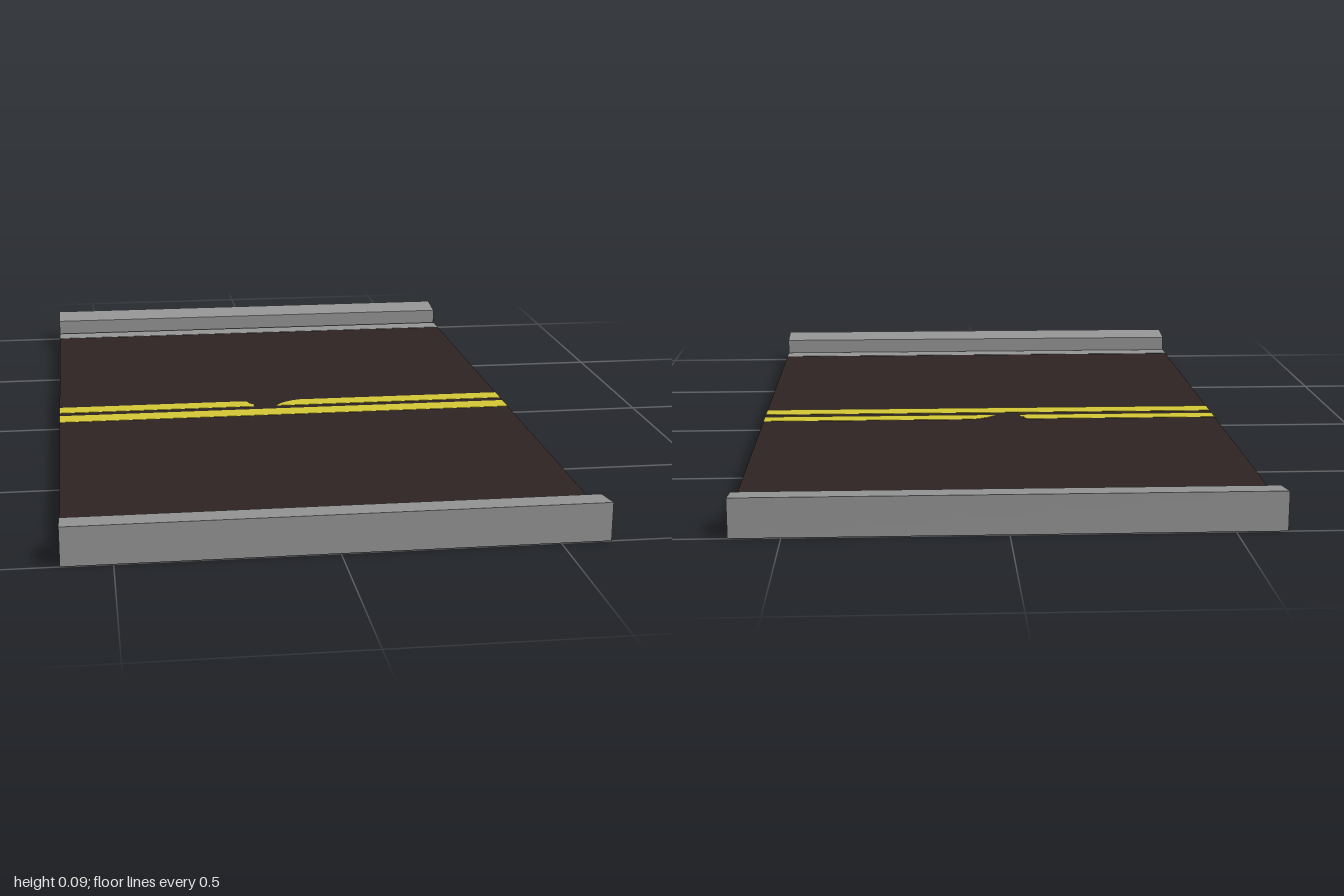
import * as THREE from 'three';

const HALF_X = 0.616, TOP = 0.041, PLATE = 0.001;

const mat = (name, color) => {
  const m = new THREE.MeshStandardMaterial({ color });
  m.name = name;
  return m;
};

// Thin flat plate from an outline of [x, z] points, with its base at height y
function plate(points, y) {
  const shape = new THREE.Shape(points.map(([x, z]) => new THREE.Vector2(x, -z)));
  const g = new THREE.ExtrudeGeometry(shape, { depth: PLATE, bevelEnabled: false });
  return g.rotateX(-Math.PI / 2).translate(0, y, 0);
}

const strip = (z0, z1) => [[-HALF_X, z0], [-HALF_X, z1], [HALF_X, z1], [HALF_X, z0]];

export function createModel() {
  const asphalt = mat('asphalt', 0x2e2323);
  const concrete = mat('concrete', 0x959595);
  const yellow = mat('yellow paint', 0xd2c634);
  const model = new THREE.Group();
  model.name = 'roadSection';

  const add = (name, geometry, material) => {
    const mesh = new THREE.Mesh(geometry, material);
    mesh.name = name;
    model.add(mesh);
  };

  // Road slab
  const slabHeight = TOP - 2 * PLATE;
  add('roadSlab', new THREE.BoxGeometry(2 * HALF_X, slabHeight, 1.82)
    .translate(0, PLATE + slabHeight / 2, 0), asphalt);

  // Kerbs with a sloping top, dark underneath
  for (const s of [1, -1]) {
    const side = s > 0 ? 'front' : 'back';
    const profile = new THREE.Shape([[0.912, PLATE], [1, PLATE], [1, 0.092], [0.912, 0.081]]
      .map(([z, y]) => new THREE.Vector2(z, y)));
    const kerb = new THREE.ExtrudeGeometry(profile, { depth: 2 * HALF_X, bevelEnabled: false })
      .translate(0, 0, -HALF_X).rotateY(-s * Math.PI / 2);
    add(side + 'Kerb', kerb, concrete);
    add(side + 'KerbBase', plate(s > 0 ? strip(0.908, 1) : strip(-1, -0.908), 0), asphalt);
  }

  // Painted markings, on the top and repeated underneath
  const wornLeft = [[-HALF_X, -0.067], [-HALF_X, -0.015], [-0.082, -0.015],
    [-0.082, -0.035], [-0.093, -0.045], [-0.095, -0.06], [-0.105, -0.067]];
  const wornRight = [[HALF_X, -0.015], [HALF_X, -0.067], [0.05, -0.067],
    [0.03, -0.06], [0.005, -0.045], [-0.01, -0.03], [-0.02, -0.015]];
  for (const [level, y] of [['top', TOP - PLATE], ['under', 0]]) {
    add(level + 'FrontLine', plate(strip(0.012, 0.07), y), yellow);
    add(level + 'BackLineA', plate(wornLeft, y), yellow);
    add(level + 'BackLineB', plate(wornRight, y), yellow);
    add(level + 'FrontGutter', plate(strip(0.844, 0.905), y), concrete);
    add(level + 'BackGutter', plate(strip(-0.9, -0.844), y), concrete);
  }

  // Dark fill between the underside markings
  for (const [z0, z1] of [[-0.844, -0.067], [-0.015, 0.012], [0.07, 0.844]]) {
    add('undersideFill', plate(strip(z0, z1), 0), asphalt);
  }
  return model;
}
